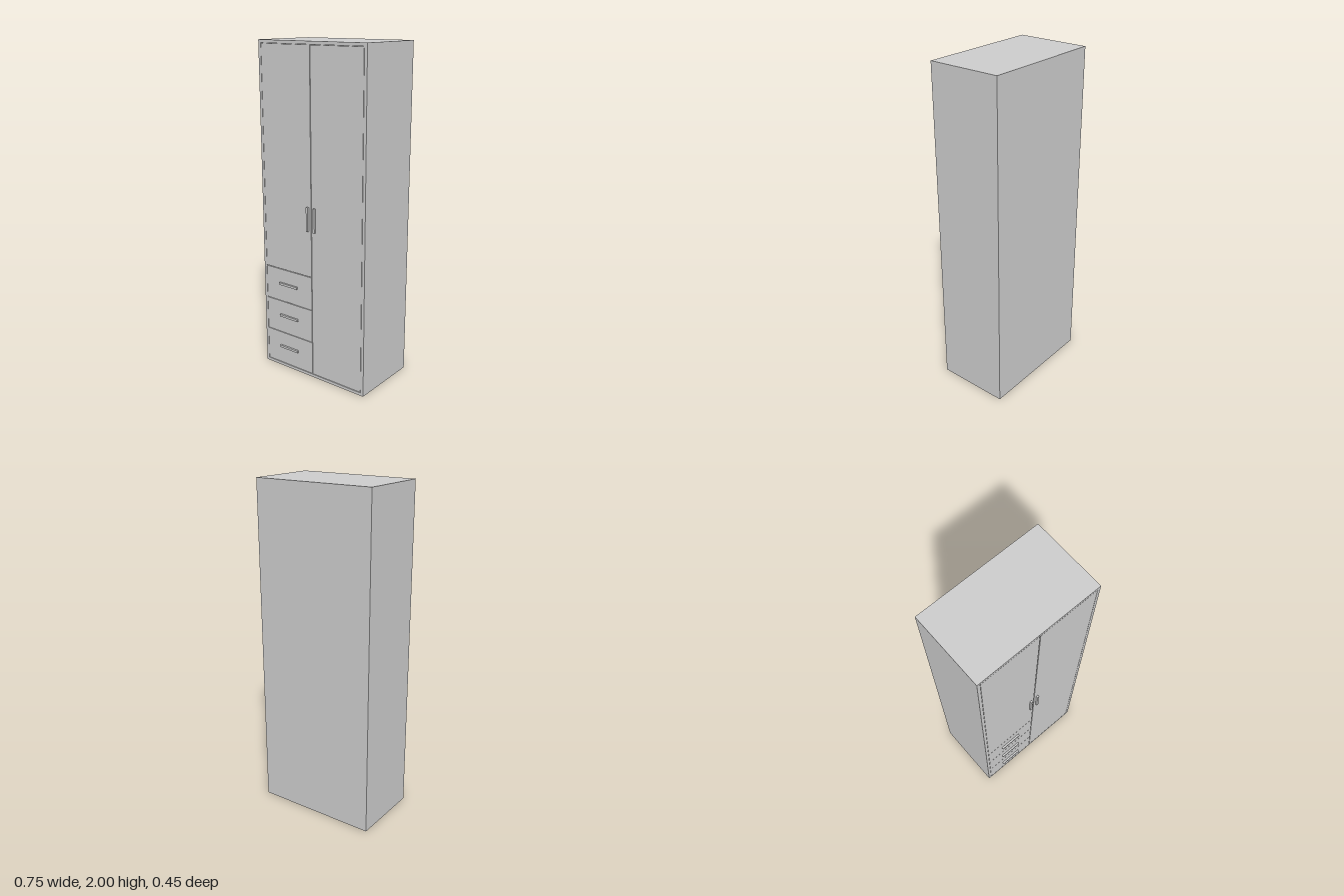
import * as THREE from 'three';

export function createModel() {
  const wardrobe = new THREE.Group();
  wardrobe.name = 'wardrobe';
  const material = new THREE.MeshStandardMaterial({ color: 0xcccccc });

  // Box given by its limits on each axis
  function panel(name, [x0, x1], [y0, y1], [z0, z1]) {
    const mesh = new THREE.Mesh(new THREE.BoxGeometry(x1 - x0, y1 - y0, z1 - z0), material);
    mesh.position.set((x0 + x1) / 2, (y0 + y1) / 2, (z0 + z1) / 2);
    mesh.name = name;
    wardrobe.add(mesh);
  }

  const W = 0.377, H = 2, T = 0.018, back = -0.227, front = 0.215;
  const inner = W - T, gap = 0.002;
  const backFace = back + T, doorBack = front - T;

  // Carcass
  panel('leftSide', [inner, W], [0, H], [back, front]);
  panel('rightSide', [-W, -inner], [0, H], [back, front]);
  panel('topPanel', [-inner, inner], [H - T, H], [backFace, front]);
  panel('bottomPanel', [-inner, inner], [0, T], [backFace, front]);
  panel('backPanel', [-inner, inner], [0, H], [back, backFace]);

  // Inner divider and the shelf above the drawers
  panel('divider', [-T / 2, T / 2], [T, H - T], [backFace, doorBack - gap]);
  panel('drawerShelf', [-inner, -T / 2], [0.64, 0.64 + T], [backFace, doorBack - gap]);

  // Inset doors, the right one shorter to leave room for the drawers
  const doorTop = H - T - gap, drawerTop = 0.647, low = T + 0.004;
  const leftX = [gap, inner - gap], rightX = [-inner + gap, -gap];
  panel('leftDoor', leftX, [low, doorTop], [doorBack, front]);
  panel('rightDoor', rightX, [drawerTop + 0.004, doorTop], [doorBack, front]);

  // Bar handles on the doors
  const handleZ = [front, 0.227];
  panel('leftDoorHandle', [0.018, 0.031], [0.93, 1.075], handleZ);
  panel('rightDoorHandle', [-0.031, -0.018], [0.93, 1.075], handleZ);

  // Three drawers with bar handles
  const step = (drawerTop + 0.004 - low) / 3;
  for (let i = 0; i < 3; i++) {
    const y = low + i * step, handleY = 0.135 + i * 0.21;
    panel('drawerFront', rightX, [y, y + step - 0.004], [doorBack, front]);
    panel('drawerHandle', [-0.251, -0.111], [handleY - 0.007, handleY + 0.007], handleZ);
  }
  return wardrobe;
}
